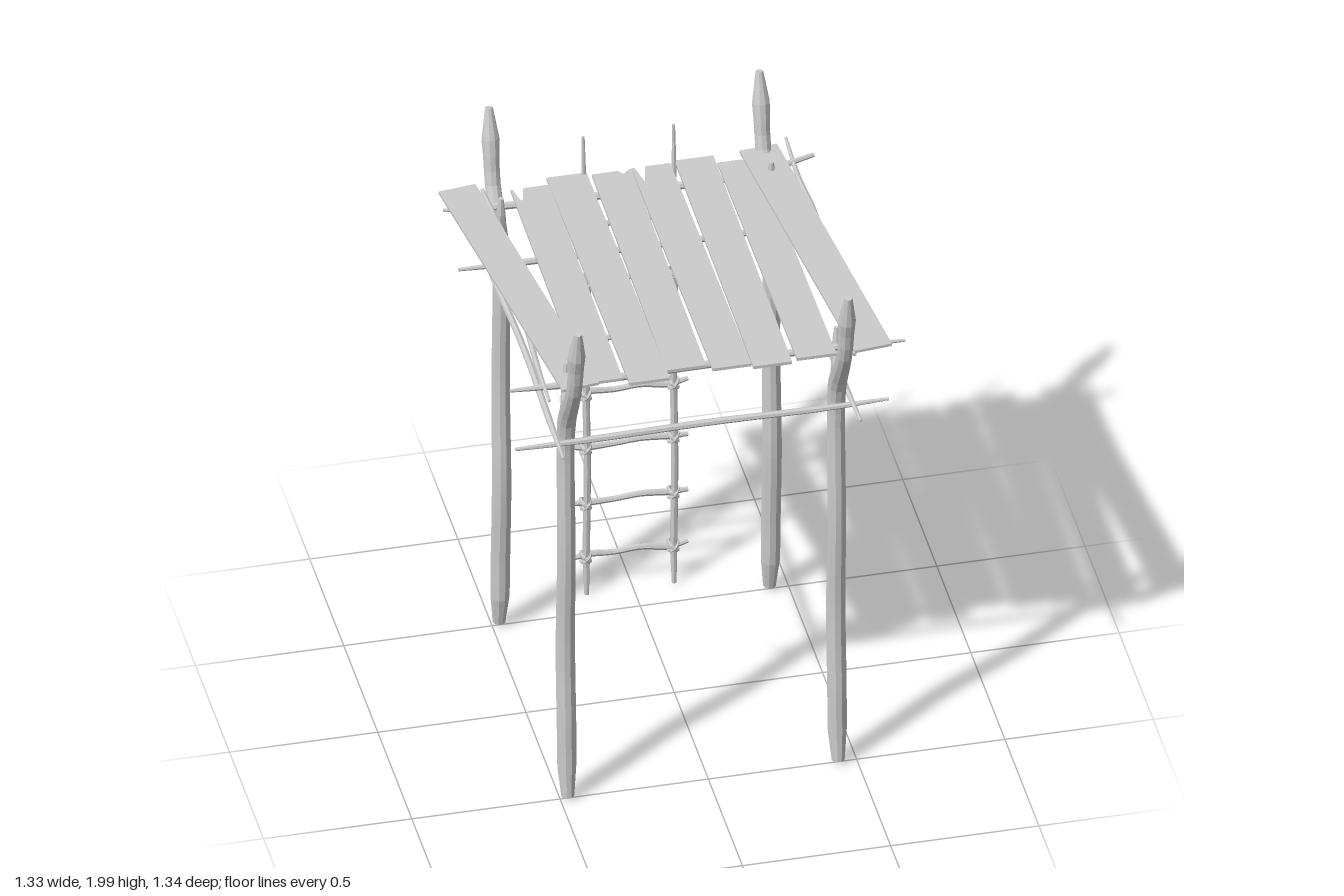
import * as THREE from 'three';

const wood = new THREE.MeshStandardMaterial({ color: 0xcccccc, flatShading: true });

function addMesh(parent, geometry, name) {
  const flat = geometry.index ? geometry.toNonIndexed() : geometry;
  flat.computeVertexNormals();
  const mesh = new THREE.Mesh(flat, wood);
  mesh.name = name;
  parent.add(mesh);
  return mesh;
}

// Round branch through [x, y, z, radius] points, closed at both ends
function branch(points, sides = 8, rings = 16) {
  const curve = new THREE.CatmullRomCurve3(points.map(p => new THREE.Vector3(p[0], p[1], p[2])));
  const geo = new THREE.TubeGeometry(curve, rings, 1, sides, false);
  const pos = geo.attributes.position;
  const v = new THREE.Vector3();
  for (let i = 0; i <= rings; i++) {
    const isEnd = i === 0 || i === rings;
    const centre = curve.getPointAt(i / rings);
    // The rings next to the ends slide out to the tips so the caps are flat
    const u = i <= 1 ? 0 : i >= rings - 1 ? 1 : i / rings;
    const target = curve.getPointAt(u);
    const t = curve.getUtoTmapping(u) * (points.length - 1);
    const k = Math.min(Math.floor(t), points.length - 2);
    const r = isEnd ? 0 : THREE.MathUtils.lerp(points[k][3], points[k + 1][3], t - k);
    for (let j = 0; j <= sides; j++) {
      const n = i * (sides + 1) + j;
      v.fromBufferAttribute(pos, n).sub(centre).multiplyScalar(r).add(target);
      pos.setXYZ(n, v.x, v.y, v.z);
    }
  }
  return geo;
}

// Flat board from an outline in x and z
function plank(outline, y, thickness) {
  const shape = new THREE.Shape(outline.map(([x, z]) => new THREE.Vector2(x, -z)));
  const geo = new THREE.ExtrudeGeometry(shape, { depth: thickness, bevelEnabled: false });
  return geo.rotateX(-Math.PI / 2).translate(0, y, 0);
}

// Crooked corner posts with a forked top
function buildPosts(model) {
  for (const x of [-0.475, 0.437]) {
    for (const s of [1, -1]) {
      const post = new THREE.Group();
      post.name = 'cornerPost';
      const trunk = [
        [0, 0.025, 0.505, 0.022], [0, 0.11, 0.492, 0.032], [0, 0.3, 0.485, 0.033],
        [0, 0.6, 0.468, 0.033], [0, 1.0, 0.483, 0.031], [0, 1.42, 0.473, 0.03],
        [0, 1.54, 0.492, 0.033], [0, 1.64, 0.55, 0.029], [0, 1.74, 0.603, 0.026],
        [0, 1.84, 0.622, 0.028], [0, 1.95, 0.648, 0.033], [0, 1.998, 0.655, 0.013],
      ];
      const stub = [
        [0, 1.5, 0.475, 0.02], [0, 1.6, 0.497, 0.024], [0, 1.68, 0.482, 0.017], [0, 1.755, 0.476, 0.008],
      ];
      const place = p => [p[0] + x, p[1], p[2] * s, p[3]];
      addMesh(post, branch(trunk.map(place), 10, 36), 'trunk');
      addMesh(post, branch(stub.map(place), 7, 8), 'forkStub');
      model.add(post);
    }
  }
}

// Thin poles tying the posts together, with the deck resting on the upper ones
function buildBeams(model) {
  const beams = {
    upperFrontBeam: [[-0.67, 1.695, 0.505, 0.006], [-0.5, 1.692, 0.507, 0.013], [0, 1.69, 0.497, 0.014], [0.45, 1.695, 0.505, 0.012], [0.66, 1.693, 0.515, 0.005]],
    upperBackBeam: [[-0.66, 1.705, -0.52, 0.006], [-0.5, 1.697, -0.515, 0.013], [0, 1.69, -0.505, 0.014], [0.4, 1.695, -0.51, 0.013], [0.595, 1.712, -0.545, 0.008]],
    lowerFrontBeam: [[-0.655, 1.462, 0.515, 0.006], [-0.4, 1.458, 0.51, 0.012], [0, 1.46, 0.505, 0.012], [0.4, 1.458, 0.51, 0.011], [0.605, 1.465, 0.515, 0.005]],
    lowerBackBeam: [[-0.61, 1.463, -0.512, 0.006], [-0.4, 1.46, -0.51, 0.012], [0, 1.462, -0.505, 0.012], [0.4, 1.458, -0.51, 0.011], [0.6, 1.462, -0.512, 0.005]],
    upperLeftBeam: [[0.53, 1.702, -0.67, 0.005], [0.52, 1.705, -0.42, 0.01], [0.527, 1.705, -0.22, 0.011], [0.485, 1.708, 0.2, 0.012], [0.475, 1.71, 0.58, 0.007]],
    upperRightBeam: [[-0.56, 1.705, 0.605, 0.005], [-0.555, 1.705, 0.42, 0.01], [-0.535, 1.702, 0.15, 0.012], [-0.5, 1.705, -0.3, 0.012], [-0.51, 1.708, -0.6, 0.007]],
    lowerLeftBeam: [[0.485, 1.475, 0.63, 0.006], [0.477, 1.478, 0.4, 0.012], [0.472, 1.48, 0, 0.012], [0.477, 1.474, -0.4, 0.011], [0.485, 1.465, -0.59, 0.005]],
    lowerRightBeam: [[-0.515, 1.475, 0.62, 0.006], [-0.512, 1.476, 0.4, 0.012], [-0.505, 1.48, 0, 0.012], [-0.512, 1.474, -0.4, 0.011], [-0.515, 1.47, -0.6, 0.005]],
  };
  for (const [name, points] of Object.entries(beams)) addMesh(model, branch(points, 7, 16), name);
}

// Rough boards: six straight, two laid askew on top
function buildDeck(model) {
  const deck = new THREE.Group();
  deck.name = 'deck';
  const boards = [
    // left, right, back, front, notch position across the board, notch depth
    [-0.425, -0.295, -0.57, 0.545, 0.2, 0.08],
    [-0.287, -0.152, -0.61, 0.578, 0, 0],
    [-0.145, -0.012, -0.595, 0.535, 0.8, 0.02],
    [-0.003, 0.128, -0.6, 0.56, 0.17, 0.085],
    [0.138, 0.268, -0.61, 0.578, 0, 0],
    [0.28, 0.413, -0.567, 0.565, 0.7, 0.02],
  ];
  boards.forEach(([x0, x1, z0, z1, notch, depth], i) => {
    const skew = i % 2 ? 0.004 : -0.004;
    const outline = [[x0 + skew, z1], [x1 + skew, z1], [x1 - skew, z0]];
    if (depth) {
      const nx = x0 + (x1 - x0) * notch;
      outline.push([nx + 0.02, z0], [nx, z0 + depth], [nx - 0.016, z0]);
    }
    outline.push([x0 - skew, z0]);
    addMesh(deck, plank(outline, 1.704, 0.011), 'straightPlank');
  });
  const askew = [
    [[-0.51, 0.58], [-0.383, 0.565], [-0.53, -0.615], [-0.657, -0.6]],
    [[0.475, 0.58], [0.604, 0.567], [0.487, -0.615], [0.358, -0.603]],
  ];
  for (const outline of askew) addMesh(deck, plank(outline, 1.715, 0.01), 'askewPlank');
  model.add(deck);
}

// Stick ladder with lashed rungs
function buildLadder(model) {
  const ladder = new THREE.Group();
  ladder.name = 'ladder';
  const z = -0.612;
  const rails = [-0.157, 0.138];
  rails.forEach((x, i) => {
    const points = [
      [x, 0.012, z + 0.008, 0.008], [x, 0.12, z, 0.013], [x + 0.004, 0.5, z, 0.012], [x, 0.9, z - 0.004, 0.013],
      [x + 0.004, 1.3, z, 0.012], [x, 1.52, z, 0.012], [x - 0.008 * (1 - i), 1.66, z + 0.006, 0.009], [x - 0.01 * (1 - i), 1.86, z, 0.005],
    ];
    addMesh(ladder, branch(points, 7, 26), 'ladderRail');
  });
  [0.152, 0.367, 0.592, 0.81, 1.025, 1.255, 1.487].forEach((y, i) => {
    const w = 0.006 * Math.sin(i * 2.4 + 1);
    const rungZ = z - 0.016;
    const points = [
      [-0.203, y - w, rungZ, 0.008], [-0.15, y + w, rungZ, 0.012], [-0.06, y - 0.004, rungZ - 0.004, 0.01],
      [0.03, y + 0.006, rungZ, 0.011], [0.13, y - 0.004 - w, rungZ, 0.012], [0.19, y + w, rungZ, 0.008],
    ];
    addMesh(ladder, branch(points, 7, 14), 'rung');
    // Two crossed rope loops at each joint
    for (const x of rails) {
      for (const tilt of [-1, 1]) {
        const loop = new THREE.TorusGeometry(0.022, 0.0065, 5, 10);
        loop.rotateY(Math.PI / 2).rotateZ(tilt * Math.PI / 4);
        loop.translate(x, y, z - 0.008);
        addMesh(ladder, loop, 'ropeLashing');
      }
    }
  });
  model.add(ladder);
}

export function createModel() {
  const model = new THREE.Group();
  model.name = 'lookoutPlatform';
  buildPosts(model);
  buildBeams(model);
  buildDeck(model);
  buildLadder(model);
  // Rest the feet on the ground
  const box = new THREE.Box3().setFromObject(model);
  model.position.y = -box.min.y;
  return model;
}
